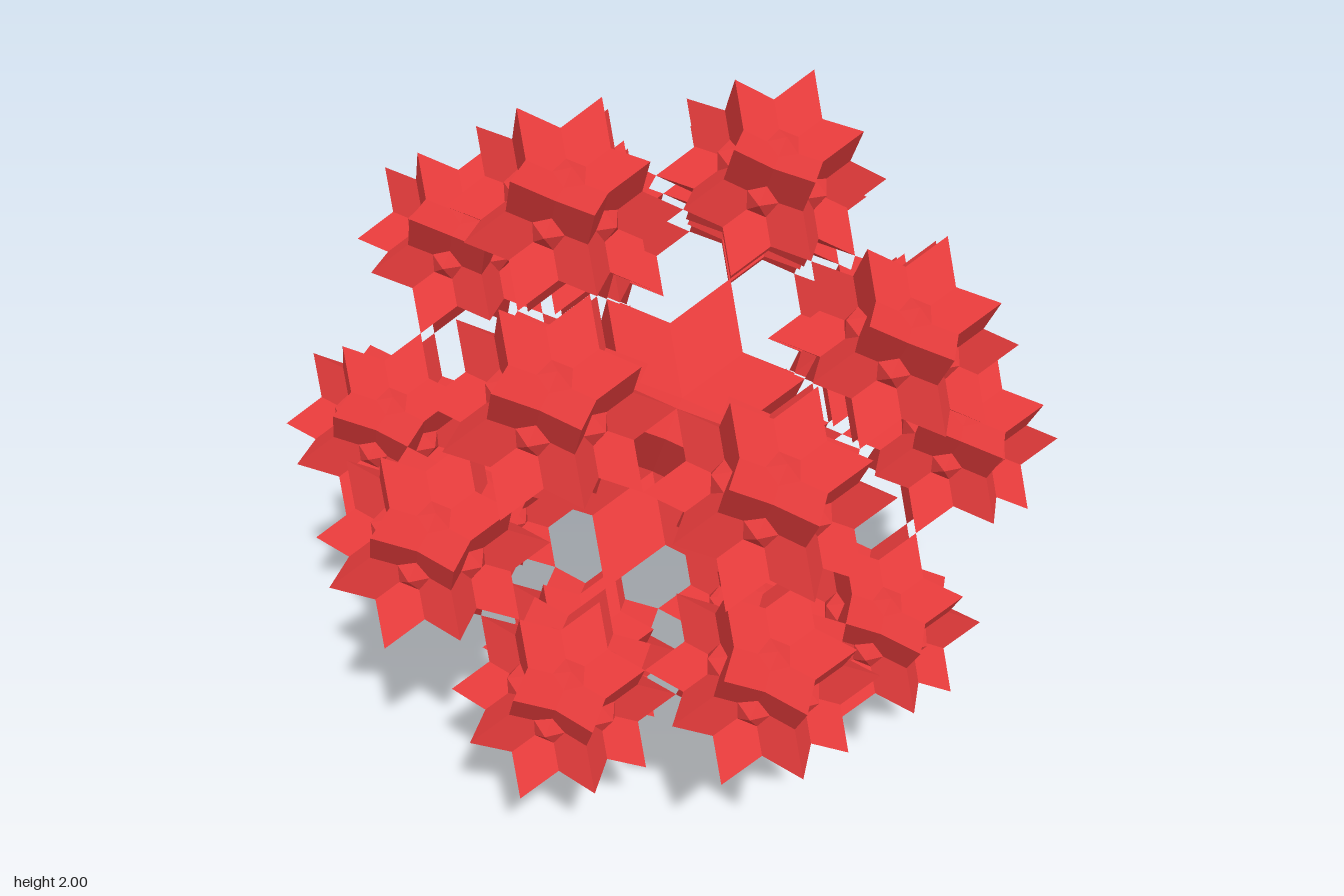
import * as THREE from 'three';

const PHI = (1 + Math.sqrt(5)) / 2;
const SMALL = 0.2764 / PHI ** 3; // unit of the outer stars
const BIG = SMALL * PHI;         // unit of the central star

// The 12 five-fold axes (icosahedron corners)
const axes = [];
for (const a of [1, -1]) {
  for (const b of [PHI, -PHI]) {
    axes.push(
      new THREE.Vector3(a, 0, b),
      new THREE.Vector3(b, a, 0),
      new THREE.Vector3(0, b, a),
    );
  }
}

// Every triple of mutually neighbouring axes: 20 in all
const near = (p, q) => Math.abs(p.dot(q) - PHI) < 1e-6;
const triples = [];
for (let i = 0; i < 12; i++) {
  for (let j = i + 1; j < 12; j++) {
    for (let k = j + 1; k < 12; k++) {
      const [u, v, w] = [axes[i], axes[j], axes[k]];
      if (near(u, v) && near(v, w) && near(u, w)) triples.push([u, v, w]);
    }
  }
}

const sum = (...vs) => vs.reduce((t, v) => t.add(v), new THREE.Vector3());

// Flat faces from corner loops, each turned to face away from the centre
function facesGeometry(loops, scale) {
  const pos = [];
  for (const loop of loops) {
    const normal = loop[1].clone().sub(loop[0]).cross(loop[2].clone().sub(loop[0]));
    const pts = normal.dot(sum(...loop)) > 0 ? loop : [...loop].reverse();
    for (let i = 1; i < pts.length - 1; i++) {
      for (const p of [pts[0], pts[i], pts[i + 1]]) {
        pos.push(p.x * scale, p.y * scale, p.z * scale);
      }
    }
  }
  const geometry = new THREE.BufferGeometry();
  geometry.setAttribute('position', new THREE.Float32BufferAttribute(pos, 3));
  geometry.computeVertexNormals();
  return geometry;
}

// 60 golden rhombi: three around each of the 20 tips
const rhombi = triples.flatMap(([u, v, w]) =>
  [[u, v, w], [v, w, u], [w, u, v]].map(([a, b, c]) =>
    [a, sum(a, b), sum(a, b, c), sum(a, c)]));

export function createModel() {
  const model = new THREE.Group();
  model.name = 'starCluster';
  const material = new THREE.MeshStandardMaterial({ color: 0xe83c3c, flatShading: true });

  // Central star
  const centre = new THREE.Mesh(facesGeometry(rhombi, BIG), material);
  centre.name = 'centralStar';
  centre.position.y = 1;
  model.add(centre);

  // Outer stars on the 20 three-fold axes, each with a core poking out of its hollows
  const starGeometry = facesGeometry(rhombi, SMALL);
  const coreGeometry = facesGeometry(triples, SMALL * 1.4);
  triples.forEach((triple, i) => {
    const outer = new THREE.Group();
    outer.name = `outerStar${i + 1}`;
    outer.position.copy(sum(...triple)).multiplyScalar(SMALL * PHI * PHI);
    outer.position.y += 1;
    const star = new THREE.Mesh(starGeometry, material);
    star.name = 'star';
    const core = new THREE.Mesh(coreGeometry, material);
    core.name = 'core';
    outer.add(star, core);
    model.add(outer);
  });
  return model;
}
